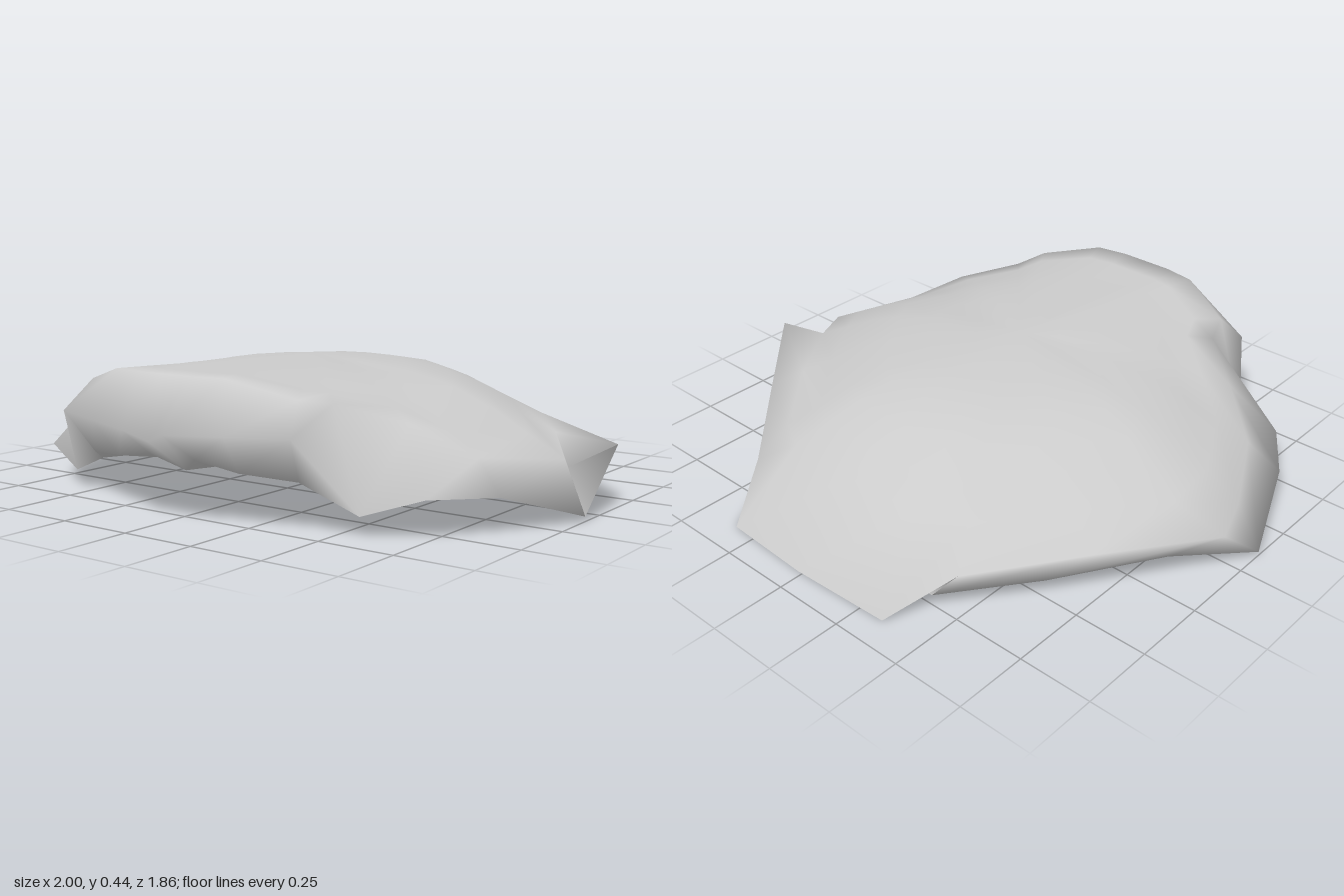
import * as THREE from 'three';
import { mergeVertices } from 'three/addons/utils/BufferGeometryUtils.js';

// Half meridians from front to back: [underside edge, rim, shoulder]
const STATIONS = [
  [[0, .14, .74], [0, .25, .90], [0, .44, .83]],
  [[.09, .19, .8], [.08, .28, .925], [.1, .44, .83]],
  [[.24, .165, .78], [.26, .285, .87], [.21, .44, .81]],
  [[.41, .15, .72], [.45, .29, .81], [.41, .385, .72]],
  [[.5, .1, .6], [.57, .06, .65], [.45, .365, .61]],
  [[.64, .115, .52], [.75, .12, .59], [.62, .305, .47]],
  [[.74, .115, .35], [.88, .11, .4], [.78, .205, .35]],
  [[.8, .08, .09], [1, .015, .1], [.92, .175, .08]],
  [[.86, .1, -.2], [1, .2, -.12], [.8, .22, -.1]],
  [[.63, .065, -.5], [.73, .16, -.41], [.62, .235, -.35]],
  [[.42, .06, -.77], [.46, .11, -.7], [.41, .22, -.6]],
  [[.25, .1, -.8], [.34, 0, -.9], [.27, .24, -.68]],
  [[0, .065, -.82], [0, .02, -.93], [0, .25, -.7]],
];
const TOP = new THREE.Vector3(0, .438, .1);
const BOTTOM = new THREE.Vector3(0, .12, .1);

// One meridian: underside centre -> edge -> rim -> shoulder -> top centre
function meridian(station, side) {
  const [edge, rim, shoulder] = station.map(([x, y, z]) => new THREE.Vector3(side * x, y, z));
  // The crown bulges more where the shoulder sits lower
  const crown = shoulder.clone().lerp(TOP, .42);
  crown.y += .3 * (TOP.y - shoulder.y);
  const top = new THREE.CatmullRomCurve3([shoulder, crown, TOP]).getPoints(6);
  const floor = BOTTOM.clone().lerp(edge, .8).setY((BOTTOM.y + edge.y) / 2);
  return [BOTTOM, floor, edge, rim, ...top];
}

export function createModel() {
  // Full loop around the shell, mirrored across x
  const loop = STATIONS.map(s => meridian(s, 1));
  for (let i = STATIONS.length - 2; i > 0; i--) loop.push(meridian(STATIONS[i], -1));

  const rows = loop[0].length, positions = [], indices = [];
  loop.forEach(line => line.forEach(p => positions.push(p.x, p.y, p.z)));
  for (let i = 0; i < loop.length; i++) {
    const a = i * rows, b = ((i + 1) % loop.length) * rows;
    for (let j = 0; j < rows - 1; j++) {
      if (j > 0) indices.push(a + j, b + j, b + j + 1);
      if (j < rows - 2) indices.push(a + j, b + j + 1, a + j + 1);
    }
  }
  let geometry = new THREE.BufferGeometry();
  geometry.setAttribute('position', new THREE.Float32BufferAttribute(positions, 3));
  geometry.setIndex(indices);
  geometry = mergeVertices(geometry, 1e-4);
  geometry.computeVertexNormals();

  // Domed shell with a nearly flat underside
  const shell = new THREE.Mesh(geometry, new THREE.MeshStandardMaterial({ color: 0xcccccc, side: THREE.DoubleSide }));
  shell.name = 'carapaceShell';
  const group = new THREE.Group();
  group.name = 'carapace';
  group.add(shell);
  return group;
}
